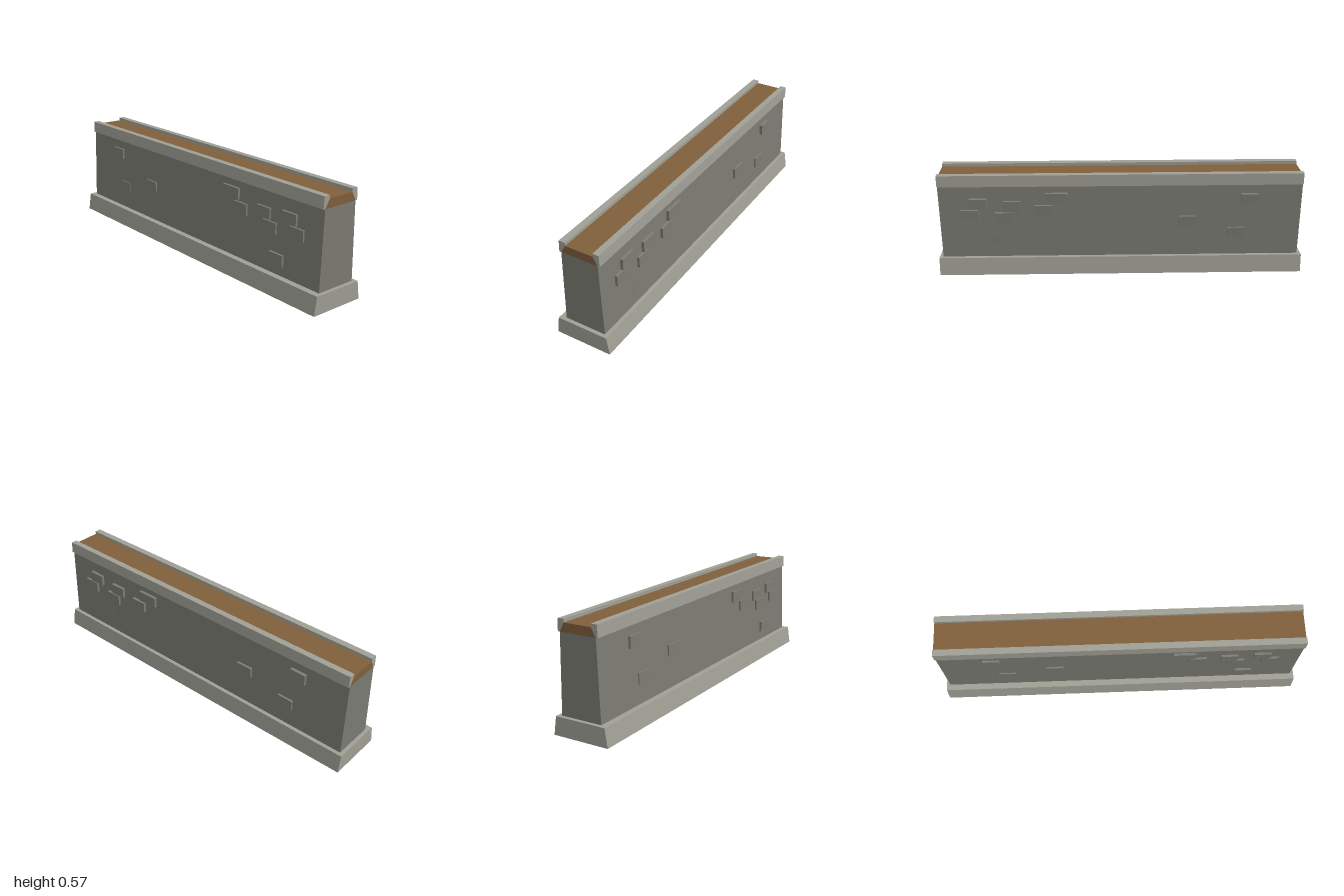
import * as THREE from 'three';

const paint = (name, color) => {
  const m = new THREE.MeshStandardMaterial({ color });
  m.name = name;
  return m;
};

export function createModel() {
  const group = new THREE.Group();
  const trim = paint('light stone', 0xa0a096);
  const stone = paint('grey stone', 0x7c7c74);
  const earth = paint('brown walkway', 0x80603c);

  // Prism running along x from a [z, y] cross-section
  const prism = (name, profile, halfLength, material) => {
    const shape = new THREE.Shape(profile.map(([z, y]) => new THREE.Vector2(-z, y)));
    const geo = new THREE.ExtrudeGeometry(shape, { depth: halfLength * 2, bevelEnabled: false });
    geo.translate(0, 0, -halfLength);
    geo.rotateY(Math.PI / 2);
    const mesh = new THREE.Mesh(geo, material);
    mesh.name = name;
    group.add(mesh);
  };

  // Flared plinth, battered wall and walkway
  prism('plinth', [[0.157, 0], [-0.157, 0], [-0.142, 0.098], [0.142, 0.098]], 1, trim);
  prism('wall', [[0.11, 0.06], [-0.122, 0.06], [-0.111, 0.51], [0.095, 0.51]], 0.98, stone);
  prism('walkway', [[0.095, 0.51], [-0.111, 0.51], [-0.0865, 0.556], [0.068, 0.556]], 0.98, earth);

  // Parapet kerbs resting against the sloped sides of the walkway
  prism('frontParapet',
    [[0.106, 0.51], [0.095, 0.51], [0.068, 0.556], [0.068, 0.573], [0.103, 0.573]], 0.98, trim);
  prism('backParapet',
    [[-0.123, 0.51], [-0.111, 0.51], [-0.0865, 0.556], [-0.0865, 0.573], [-0.12, 0.573]], 0.98, trim);

  // Bonding stones that pass through the wall and stand proud on both faces:
  // [centre x, centre y, width, front z, back z]
  const stones = [
    [-0.695, 0.428, 0.09, 0.109, -0.13],
    [-0.36, 0.3, 0.094, 0.11, -0.129],
    [-0.63, 0.23, 0.09, 0.11, -0.129],
    [0.345, 0.44, 0.12, 0.11, -0.129],
    [0.42, 0.37, 0.094, 0.11, -0.129],
    [0.59, 0.395, 0.092, 0.11, -0.129],
    [0.633, 0.33, 0.094, 0.11, -0.129],
    [0.768, 0.41, 0.094, 0.11, -0.129],
    [0.818, 0.345, 0.094, 0.11, -0.129],
    [0.692, 0.18, 0.094, 0.118, -0.119],
  ];
  for (const [x, y, width, front, back] of stones) {
    const mesh = new THREE.Mesh(new THREE.BoxGeometry(width, 0.06, front - back), stone);
    mesh.position.set(x, y, (front + back) / 2);
    mesh.name = 'bondingStone';
    group.add(mesh);
  }

  return group;
}
